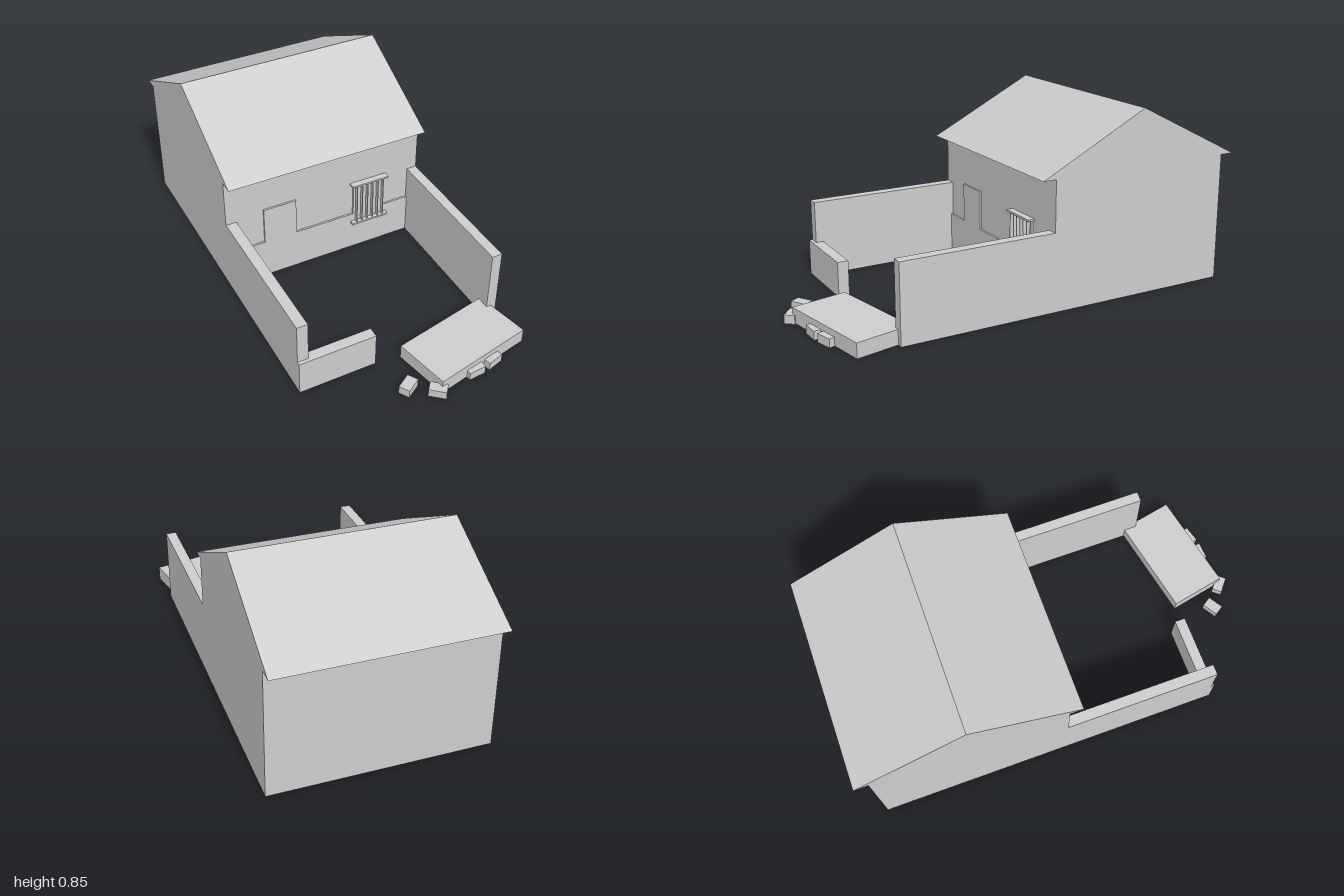
import * as THREE from 'three';

export function createModel() {
  const model = new THREE.Group();
  model.name = 'houseWithYard';
  const plaster = new THREE.MeshStandardMaterial({ color: 0xcccccc });
  plaster.name = 'light grey';

  const add = (name, geometry, parent = model) => {
    const mesh = new THREE.Mesh(geometry, plaster);
    mesh.name = name;
    parent.add(mesh);
    return mesh;
  };
  // box from its lower and upper limits on each axis
  const box = (name, [x0, x1], [y0, y1], [z0, z1], parent) => {
    const mesh = add(name, new THREE.BoxGeometry(x1 - x0, y1 - y0, z1 - z0), parent);
    mesh.position.set((x0 + x1) / 2, (y0 + y1) / 2, (z0 + z1) / 2);
    return mesh;
  };
  // box on the ground, turned about the vertical axis
  const block = (name, x, z, w, h, d, turn) => {
    const mesh = add(name, new THREE.BoxGeometry(w, h, d));
    mesh.position.set(x, h / 2, z);
    mesh.rotation.y = turn;
  };
  const extrude = (points, depth) => new THREE.ExtrudeGeometry(
    new THREE.Shape(points.map(([a, b]) => new THREE.Vector2(a, b))),
    { depth, bevelEnabled: false });

  const left = 0.475, right = -0.5, wallZ = -0.045, eaveY = 0.588;

  // house body and gable roof (profile in z, y)
  box('houseBody', [right, left], [0, eaveY], [-0.932, wallZ]);
  const roof = extrude([[-0.998, eaveY], [0.018, eaveY], [-0.49, 0.845]], left - right);
  roof.rotateY(-Math.PI / 2);
  roof.translate(left, 0, 0);
  add('roof', roof);

  // raised base strip and door panel in one outline
  const panel = add('doorAndBasePanel', extrude([
    [-0.45, 0], [0.427, 0], [0.427, 0.197], [-0.16, 0.197],
    [-0.16, 0.381], [-0.32, 0.381], [-0.32, 0.197], [-0.45, 0.197],
  ], 0.009));
  panel.position.z = wallZ;

  // barred window
  const barredWindow = new THREE.Group();
  barredWindow.name = 'barredWindow';
  model.add(barredWindow);
  box('windowPane', [0.135, 0.296], [0.156, 0.365], [wallZ, -0.035], barredWindow);
  for (const y of [0.147, 0.365]) {
    box('windowRail', [0.122, 0.309], [y, y + 0.009], [wallZ, -0.014], barredWindow);
  }
  for (let i = 0; i < 6; i++) {
    const x = 0.148 + i * 0.0274;
    box('windowBar', [x - 0.002, x + 0.002], [0.156, 0.365], [-0.035, -0.018], barredWindow);
  }

  // yard walls
  box('rightYardWall', [right, -0.45], [0, 0.357], [wallZ, 0.672]);
  box('leftYardWall', [0.427, left], [0, 0.357], [wallZ, 0.672]);
  box('frontYardWall', [right, -0.143], [0, 0.164], [0.638, 0.688]);

  // fallen slab and loose stones
  block('fallenSlab', 0.229, 0.784, 0.477, 0.067, 0.26, 0.2);
  block('looseStone', -0.093, 0.877, 0.077, 0.039, 0.05, 0.56);
  block('looseStone', 0.005, 0.953, 0.077, 0.039, 0.047, -0.69);
  block('looseStone', 0.2, 0.925, 0.08, 0.039, 0.047, 0.06);
  block('looseStone', 0.298, 0.908, 0.078, 0.039, 0.047, 0.28);

  return model;
}
